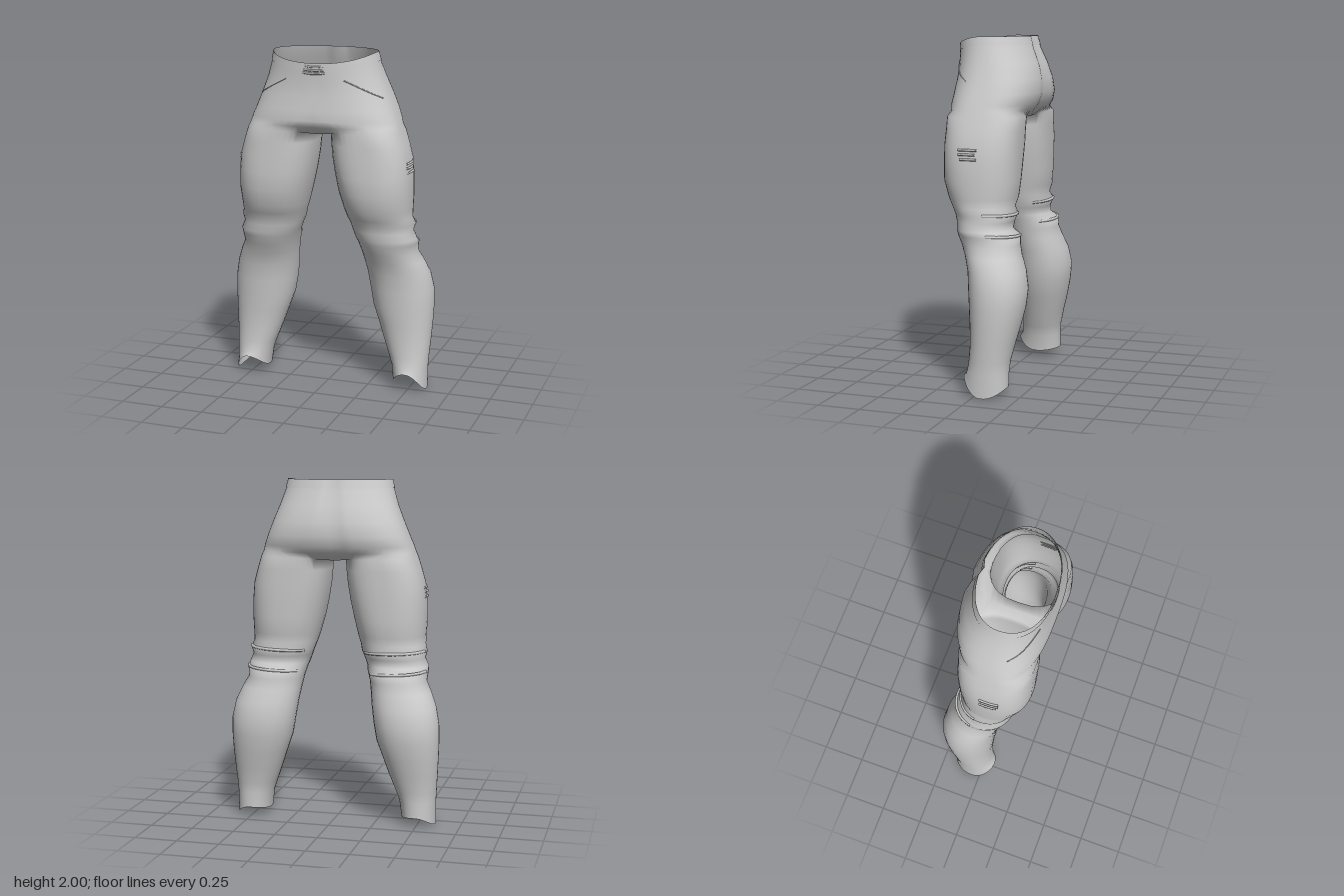
import * as THREE from 'three';
import { mergeVertices } from 'three/addons/utils/BufferGeometryUtils.js';

// Hip sections: y, half width, front z, back z, roundness
const HIPS = [
  [2.0, 0.305, 0.25, -0.16, 0.92], [1.93, 0.322, 0.25, -0.18, 0.9], [1.85, 0.347, 0.247, -0.213, 0.85],
  [1.76, 0.382, 0.25, -0.238, 0.8], [1.68, 0.413, 0.26, -0.243, 0.76], [1.62, 0.436, 0.266, -0.225, 0.73],
  [1.585, 0.447, 0.258, -0.2, 0.72],
];
// Leg sections: y, inner x, outer x, front z, back z
const LEG = [
  [1.555, 0.05, 0.458, 0.246, -0.187], [1.48, 0.053, 0.482, 0.246, -0.184], [1.4, 0.06, 0.505, 0.25, -0.184],
  [1.3, 0.075, 0.516, 0.25, -0.18], [1.2, 0.095, 0.52, 0.249, -0.176], [1.1, 0.12, 0.515, 0.22, -0.168],
  [1.05, 0.135, 0.515, 0.195, -0.15], [1.01, 0.147, 0.528, 0.174, -0.172], [0.97, 0.162, 0.517, 0.167, -0.155],
  [0.925, 0.178, 0.538, 0.16, -0.15], [0.895, 0.187, 0.54, 0.152, -0.198], [0.84, 0.203, 0.534, 0.128, -0.2],
  [0.78, 0.213, 0.566, 0.1, -0.216], [0.7, 0.225, 0.6, 0.075, -0.247], [0.6, 0.24, 0.62, 0.065, -0.265],
  [0.5, 0.257, 0.622, 0.058, -0.255], [0.4, 0.293, 0.618, 0.05, -0.234], [0.3, 0.327, 0.612, 0.045, -0.208],
  [0.2, 0.365, 0.605, 0.05, -0.185], [0.14, 0.387, 0.601, 0.058, -0.18], [0.05, 0.4, 0.6, 0.076, -0.18],
];
const OUT = 28, IN = 8, PHI = 0.12, CORNER = THREE.MathUtils.degToRad(40);
const V = (x, y, z) => new THREE.Vector3(x, y, z);
const mix = THREE.MathUtils.lerp;
const spow = (v, p) => Math.sign(v) * Math.abs(v) ** p;

// Interpolated section at height y
function section(table, y) {
  let i = 0;
  while (i < table.length - 2 && table[i + 1][0] > y) i++;
  const t = (table[i][0] - y) / (table[i][0] - table[i + 1][0]);
  return table[i].map((v, k) => mix(v, table[i + 1][k], t));
}

// Point on the hips; phi runs 0 (front) to PI (back); the rim dips in front
function hipPoint(y, phi, grow = 0) {
  const [, w, f, b, p] = section(HIPS, y);
  const dip = 0.055 * Math.max(0, Math.cos(phi)) ** 1.6 * THREE.MathUtils.clamp((y - 1.76) / 0.24, 0, 1);
  return V((w + grow) * spow(Math.sin(phi), p), y - dip,
    (f + b) / 2 + ((f - b) / 2 + grow) * spow(Math.cos(phi), p));
}

// Point on the leg; a runs 0 (front), PI/2 (outside), PI (back)
function legPoint(y, a, grow = 0) {
  const [, i, o, f, b] = section(LEG, y);
  const p = mix(0.95, 0.75, THREE.MathUtils.smoothstep(y, 0.9, 1.5));
  const s = Math.sin(a), c = Math.cos(a);
  let h = y;
  if (y <= 0.05) h = mix(s > 0 ? 0 : 0.04, c > 0 ? 0.112 : 0.055, c * c);
  if (y > 1.54) h -= 0.015 * Math.max(0, -s);
  return V((i + o) / 2 + ((o - i) / 2 + grow) * spow(s, p), h,
    (f + b) / 2 + ((f - b) / 2 + grow) * spow(c, p));
}

// Smooth surface from quads, mirrored across x = 0 when asked
function surface(quads, mirror) {
  const pos = [];
  const tri = (a, b, c, s) => [a, b, c].forEach(v => pos.push(s * v.x, v.y, v.z));
  for (const [a, b, c, d] of quads) {
    tri(a, b, c, 1); tri(a, c, d, 1);
    if (mirror) { tri(a, c, b, -1); tri(a, d, c, -1); }
  }
  const g = new THREE.BufferGeometry();
  g.setAttribute('position', new THREE.Float32BufferAttribute(pos, 3));
  const m = mergeVertices(g, 1e-4);
  m.computeVertexNormals();
  return m;
}

function gridQuads(rows) {
  const q = [];
  for (let r = 0; r < rows.length - 1; r++)
    for (let c = 0; c < Math.min(rows[r].length, rows[r + 1].length) - 1; c++)
      q.push([rows[r][c], rows[r + 1][c], rows[r + 1][c + 1], rows[r][c + 1]]);
  return q;
}

function trousersGeometry() {
  // Hip rows cover the outside half; leg rows close around the inner thigh
  const hips = HIPS.map(([y]) => Array.from({ length: OUT + 1 },
    (_, i) => hipPoint(y, mix(PHI, Math.PI - PHI, i / OUT))));
  const legs = LEG.map(([y]) => Array.from({ length: OUT + IN + 1 }, (_, i) => legPoint(y, i <= OUT
    ? mix(-CORNER, Math.PI + CORNER, i / OUT)
    : mix(Math.PI + CORNER, 2 * Math.PI - CORNER, (i - OUT) / IN))));
  const quads = gridQuads([...hips, ...legs]);

  // Centre strip: down the front, under the crotch, up the back
  const edge = [], mid = [];
  hips.forEach((r, i) => { edge.push(r[0]); mid.push(hipPoint(HIPS[i][0], 0)); });
  for (let i = OUT + IN; i >= OUT; i--) {
    const p = legs[0][i];
    edge.push(p); mid.push(V(0, 1.54, p.z));
  }
  for (let i = hips.length - 1; i >= 0; i--) {
    const m = hipPoint(HIPS[i][0], Math.PI);
    m.z += 0.016; // slight cleft at the back
    edge.push(hips[i][OUT]); mid.push(m);
  }
  for (let k = 0; k < edge.length - 1; k++) quads.push([mid[k], mid[k + 1], edge[k + 1], edge[k]]);
  return surface(quads, true);
}

export function createModel() {
  const model = new THREE.Group();
  model.name = 'trousers';
  const mat = new THREE.MeshStandardMaterial({ color: 0xcccccc, side: THREE.DoubleSide });
  const add = (name, geo) => {
    const m = new THREE.Mesh(geo, mat);
    m.name = name;
    model.add(m);
    return m;
  };
  const cord = (name, pts, r) =>
    add(name, new THREE.TubeGeometry(new THREE.CatmullRomCurve3(pts), 12, r, 6));

  add('hipsAndLegs', trousersGeometry());

  // Waistband, a thin layer over the top edge
  const band = [2.0, 1.975, 1.95].map(y => Array.from({ length: 33 },
    (_, i) => hipPoint(y, Math.PI * i / 32, 0.003)));
  band.forEach(row => { row[32].z += 0.014; row[31].z += 0.004; });
  add('waistband', surface(gridQuads(band), true));

  // Stitched bars at the front of the waistband
  for (const [y, w] of [[1.925, 0.055], [1.905, 0.06], [1.887, 0.065]])
    cord('waistBar', [-1, -0.4, 0.4, 1].map(t => V(w * t, y + 0.005 * t * t, 0.253 - 0.006 * t * t)), 0.006);

  for (const side of [1, -1]) {
    const flip = p => { p.x *= side; return p; };
    // Slanted pocket seam
    cord('pocketSeam', [0, 0.25, 0.5, 0.75, 1].map(t => {
      const y = mix(1.875, 1.75, t), x = mix(0.17, 0.365, t);
      const [, w, , , p] = section(HIPS, y);
      return flip(hipPoint(y, Math.asin(Math.min(1, x / w) ** (1 / p)), 0.001));
    }), 0.003);
    // Ridges on the outer thigh
    for (const [y, from, to] of [[1.38, 0.0, 0.11], [1.355, 0.01, 0.11], [1.328, 0.0, 0.1]])
      cord('thighRidge', [0, 0.33, 0.67, 1].map(t => {
        const z = mix(from, to, t), [, , , f, b] = section(LEG, y);
        const c = (z - (f + b) / 2) / ((f - b) / 2);
        return flip(legPoint(y, Math.acos(spow(c, 1 / 0.77)), 0.003));
      }), 0.007);
    // Creases behind the knee
    for (const [y, rise] of [[1.01, 0.02], [0.893, 0.03]])
      cord('kneeCrease', Array.from({ length: 7 }, (_, i) => {
        const a = mix(1.75, 4.1, i / 6), p = legPoint(y, a, -0.004);
        p.y += rise * Math.sin(a) * 0.3;
        return flip(p);
      }), 0.009);
  }
  return model;
}
